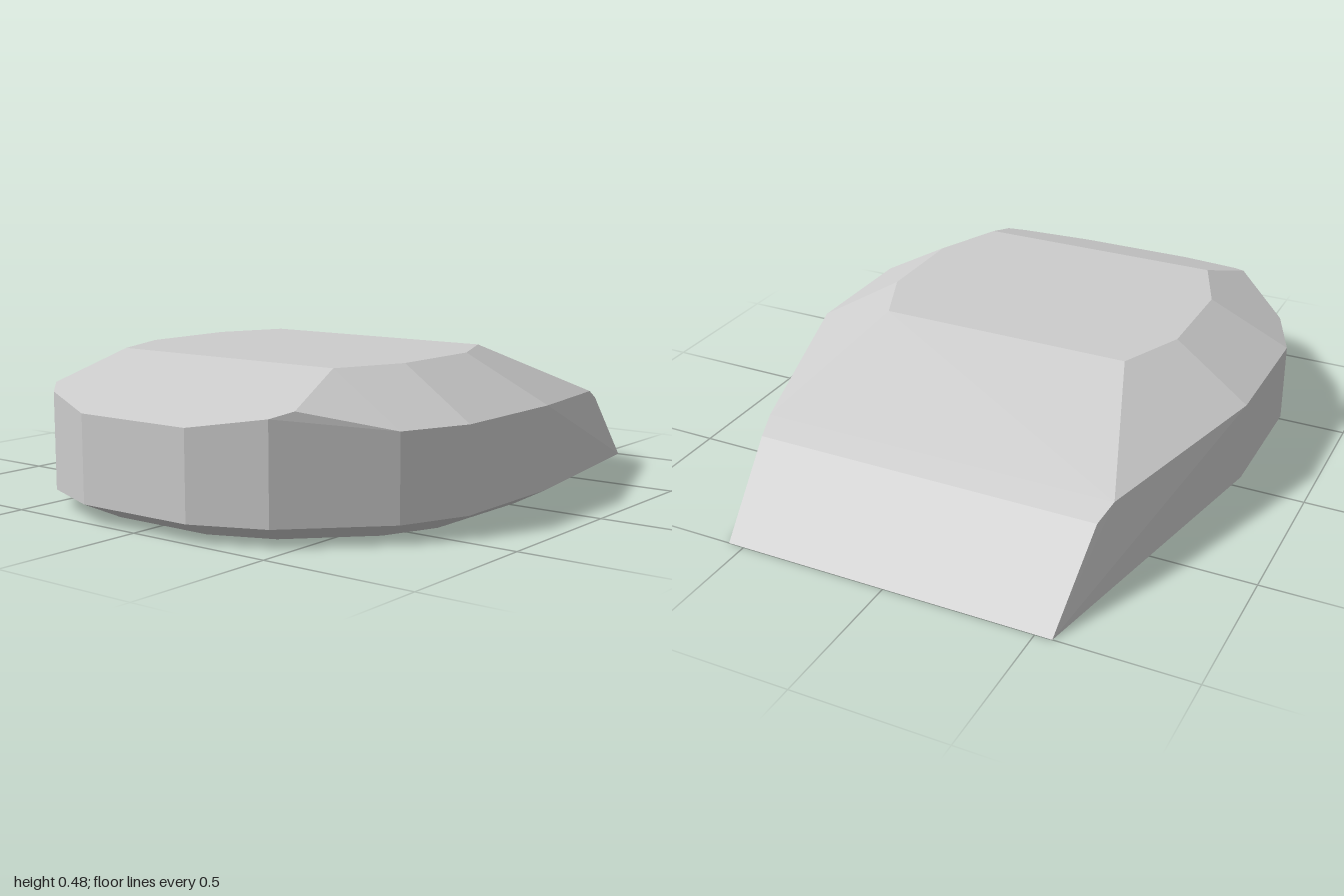
import * as THREE from 'three';
import { ConvexGeometry } from 'three/addons/geometries/ConvexGeometry.js';

export function createModel() {
  const grey = new THREE.MeshStandardMaterial({ color: 0xcccccc });
  grey.name = 'plain grey';

  // Half cross-sections as [x, y, z]; each point is mirrored in z.
  const roof = [[-0.6, 0.48, 0.43], [-0.37, 0.48, 0.525], [-0.03, 0.48, 0.525], [0.19, 0.48, 0.43]];
  const upperRim = [
    [-1, 0.335, 0.21], [-0.905, 0.37, 0.44], [-0.85, 0.39, 0.49], [-0.64, 0.327, 0.7],
    [-0.42, 0.327, 0.79], [0.03, 0.327, 0.79], [0.67, 0.282, 0.6], [0.75, 0.248, 0.58],
  ];
  const lowerRim = [
    [-1, 0.057, 0.21], [-0.905, 0.057, 0.44], [-0.64, 0.057, 0.7], [-0.42, 0.057, 0.79], [0.03, 0.057, 0.79],
  ];
  const underside = [
    [-0.88, 0, 0.18], [-0.8, 0, 0.38], [-0.58, 0, 0.595], [-0.4, 0, 0.67], [0.02, 0, 0.68], [1, 0, 0.555],
  ];

  const points = [...roof, ...upperRim, ...lowerRim, ...underside].flatMap(([x, y, z]) => [
    new THREE.Vector3(x, y, z), new THREE.Vector3(x, y, -z),
  ]);

  // Faceted wedge-nosed shell
  const shell = new THREE.Mesh(new ConvexGeometry(points), grey);
  shell.name = 'facetedShell';

  const model = new THREE.Group();
  model.name = 'wedgeHull';
  model.add(shell);
  return model;
}
